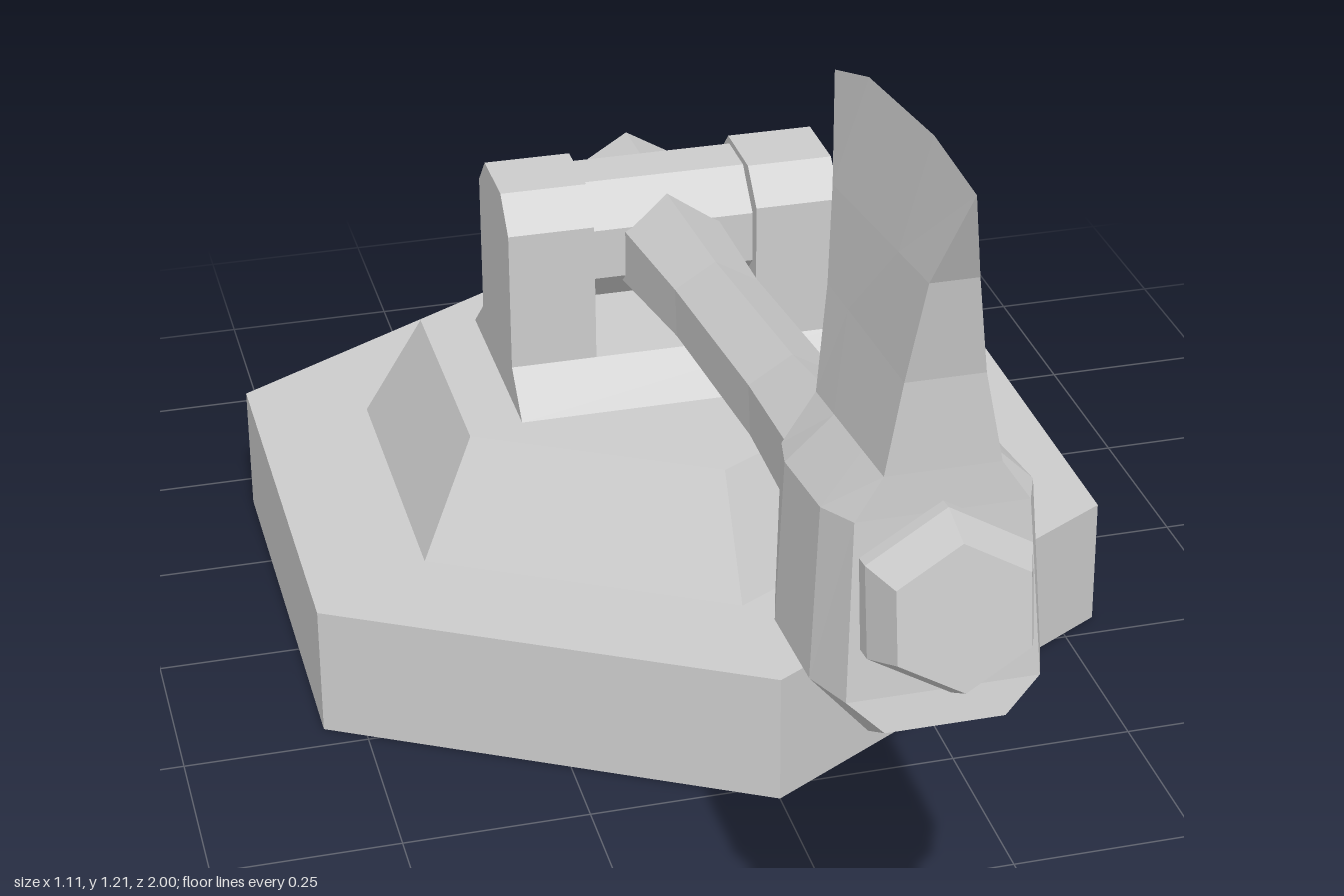
import * as THREE from 'three';

const material = new THREE.MeshStandardMaterial({ color: 0xcccccc, flatShading: true });
const shellMaterial = new THREE.MeshStandardMaterial({ color: 0xcccccc, flatShading: true, side: THREE.DoubleSide });

function addMesh(parent, name, geometry, mat = material) {
  const mesh = new THREE.Mesh(geometry, mat);
  mesh.name = name;
  parent.add(mesh);
  return mesh;
}

// Six-sided turned solid from [radius, height] pairs
function hexLathe(profile) {
  return new THREE.LatheGeometry(profile.map(([r, y]) => new THREE.Vector2(r, y)), 6);
}

// Side outline of [z, y] pairs, extruded across x and centred on x = 0
function sideExtrude(outline, width) {
  const shape = new THREE.Shape(outline.map(([z, y]) => new THREE.Vector2(z, y)));
  const geometry = new THREE.ExtrudeGeometry(shape, { depth: width, bevelEnabled: false });
  return geometry.translate(0, 0, -width / 2).rotateY(-Math.PI / 2);
}

// Axe head lofted through levels; each level has four [z, y, halfWidth] stations, front to back
function headGeometry(levels) {
  const positions = [];
  const indices = [];
  for (const level of levels) {
    for (const [z, y, x] of level) positions.push(x, y, z);
    for (const [z, y, x] of [...level].reverse()) positions.push(-x, y, z);
  }
  const quad = (a, b, c, d) => indices.push(a, b, c, a, c, d);
  for (let i = 0; i < levels.length - 1; i++) {
    for (let j = 0; j < 8; j++) {
      const a = i * 8 + j;
      const b = i * 8 + ((j + 1) % 8);
      quad(a, b, b + 8, a + 8);
    }
  }
  // underside
  for (let j = 0; j < 3; j++) quad(j, 7 - j, 6 - j, j + 1);
  const geometry = new THREE.BufferGeometry();
  geometry.setAttribute('position', new THREE.Float32BufferAttribute(positions, 3));
  geometry.setIndex(indices);
  geometry.computeVertexNormals();
  return geometry;
}

// Blade level with straight stations between a front and a back point
function bladeLevel([zf, yf], [zb, yb], w) {
  return [0, 0.3, 0.72, 1].map((t) => [zf + (zb - zf) * t, yf + (yb - yf) * t, w]);
}

export function createModel() {
  const model = new THREE.Group();
  model.name = 'axeTrap';
  const pivotZ = -0.36;

  // Hollow stepped hexagonal base, open underneath
  const base = addMesh(model, 'base', hexLathe([
    [0.64, 0], [0.64, 0.185], [0.45, 0.185], [0.36, 0.345], [0, 0.345],
  ]), shellMaterial);
  base.position.z = pivotZ;

  // Bracket: sloped foot, two chamfered uprights and the axle between them
  const bracket = new THREE.Group();
  bracket.name = 'bracket';
  model.add(bracket);
  addMesh(bracket, 'bracketFoot', sideExtrude([
    [-0.52, 0.345], [-0.2, 0.345], [-0.26, 0.4], [-0.455, 0.4],
  ], 0.47));
  for (const side of [-1, 1]) {
    const upright = addMesh(bracket, side > 0 ? 'leftUpright' : 'rightUpright', sideExtrude([
      [-0.455, 0.4], [-0.26, 0.4], [-0.26, 0.6], [-0.305, 0.645], [-0.41, 0.645], [-0.455, 0.6],
    ], 0.12));
    upright.position.x = side * 0.175;
  }
  const axleGeometry = new THREE.CylinderGeometry(0.095, 0.095, 0.235, 8)
    .rotateY(Math.PI / 8).rotateZ(Math.PI / 2);
  const axle = addMesh(bracket, 'axle', axleGeometry);
  axle.position.set(0, 0.548, -0.367);

  // Tilted hexagonal handle with a flared grip and a front knob
  const tilt = 0.128;
  const shaft = new THREE.Group();
  shaft.name = 'shaft';
  shaft.position.y = 0.575;
  shaft.rotation.x = Math.PI / 2 - tilt;
  model.add(shaft);
  addMesh(shaft, 'handle', hexLathe([
    [0, -0.568], [0.075, -0.568], [0.098, -0.54], [0.078, -0.29], [0.065, -0.04],
    [0.066, 0.33], [0.088, 0.67], [0.088, 0.9],
  ]));
  addMesh(shaft, 'knob', hexLathe([
    [0, 0.88], [0.11, 0.88], [0.11, 0.945], [0.088, 0.996], [0, 0.996],
  ]));

  // Axe head: blunt poll, eye block, shoulder and flaring blade with a curved edge
  addMesh(model, 'axeHead', headGeometry([
    [[0.935, 0.535, 0.07], [0.875, 0.5, 0.07], [0.75, 0.485, 0.07], [0.68, 0.52, 0.07]],
    [[0.925, 0.575, 0.112], [0.86, 0.571, 0.135], [0.72, 0.563, 0.135], [0.675, 0.56, 0.122]],
    [[0.905, 0.79, 0.1], [0.85, 0.782, 0.122], [0.71, 0.762, 0.122], [0.655, 0.755, 0.11]],
    bladeLevel([0.902, 0.84], [0.645, 0.81], 0.067),
    bladeLevel([0.9, 0.95], [0.615, 0.93], 0.046),
    bladeLevel([0.92, 1.075], [0.57, 1.03], 0.028),
    [[0.98, 1.2, 0], [0.84, 1.205, 0], [0.61, 1.175, 0], [0.48, 1.13, 0]],
  ]));

  return model;
}
